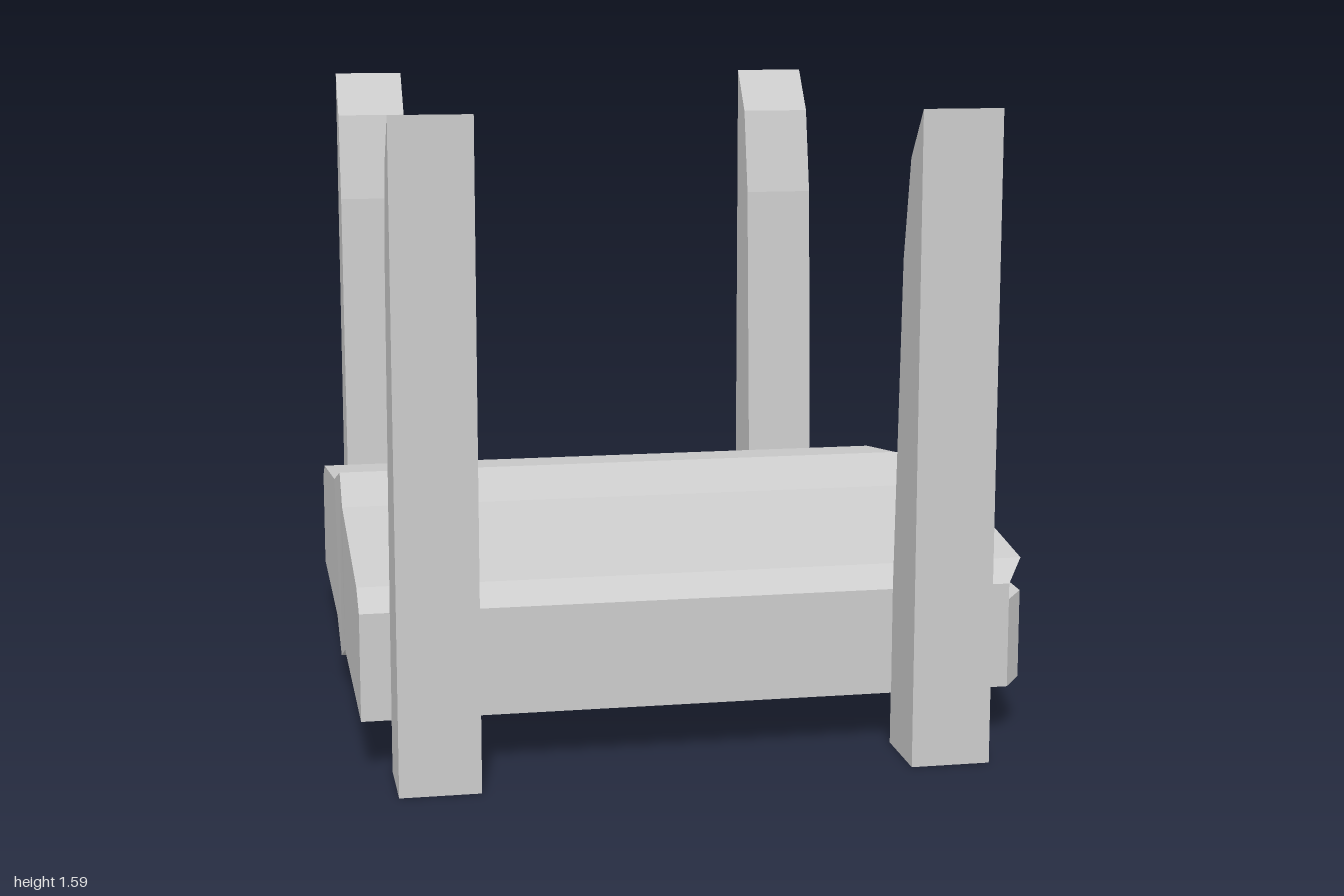
import * as THREE from 'three';

// Skin a list of matching cross-section rings, optionally capping both ends
function loft(rings, capped) {
  const n = rings[0].length;
  const index = [];
  for (let i = 0; i < rings.length - 1; i++) {
    for (let j = 0; j < n; j++) {
      const k = (j + 1) % n;
      const a = i * n + j, b = i * n + k, c = b + n, d = a + n;
      index.push(a, b, c, a, c, d);
    }
  }
  if (capped) {
    const last = (rings.length - 1) * n;
    for (let j = 1; j < n - 1; j++) {
      index.push(0, j + 1, j, last, last + j, last + j + 1);
    }
  }
  const indexed = new THREE.BufferGeometry();
  indexed.setAttribute('position', new THREE.Float32BufferAttribute(rings.flat(2), 3));
  indexed.setIndex(index);
  const geometry = indexed.toNonIndexed();
  geometry.computeVertexNormals();
  return geometry;
}

export function createModel() {
  const group = new THREE.Group();
  const material = new THREE.MeshStandardMaterial({
    color: 0xcccccc, flatShading: true, side: THREE.DoubleSide,
  });
  const add = (name, geometry) => {
    const mesh = new THREE.Mesh(geometry, material);
    mesh.name = name;
    group.add(mesh);
  };

  // Deck: ridged slab with a notch under the overhanging right-hand end
  // z, underside y, top y, wall x, top edge x, notch y, left edge x
  const ledgeY = 0.355, notchX = 0.745;
  const stations = [
    [-0.81, 0.13, 0.395, 0.745, 0.745, 0.395, -0.865],
    [-0.73, 0.13, 0.44, 0.8, 0.8, 0.356, -0.865],
    [-0.18, 0.13, 0.515, 0.8, 0.8, 0.41, -0.865],
    [0, 0.065, 0.57, 0.86, 0.82, 0.43, -0.86],
    [0.18, 0.13, 0.515, 0.81, 0.8, 0.41, -0.865],
    [0.73, 0.13, 0.44, 0.8, 0.8, 0.356, -0.865],
    [0.81, 0.13, 0.395, 0.745, 0.745, 0.395, -0.865],
  ];
  add('deck', loft(stations.map(([z, low, top, wallX, topX, notchY, leftX]) => [
    [-0.865, low, z],
    [wallX, low, z],
    [wallX, ledgeY, z],
    [notchX, ledgeY, z],
    [notchX, notchY, z],
    [topX, top, z],
    [leftX, top, z],
  ]), true));

  // Posts: hollow at the foot, inner face curving out to a sharp top edge
  const inner = [[0, 0.805], [0.395, 0.81], [1.22, 0.855], [1.465, 0.905], [1.585, 1]];
  for (const [side, x] of [['Right', -0.695], ['Left', 0.542]]) {
    for (const [end, s] of [['front', 1], ['back', -1]]) {
      const x0 = x - 0.097, x1 = x + 0.097;
      add(`${end}${side}Post`, loft(inner.map(([y, z]) => {
        const hi = s > 0 ? 1 : -z, lo = s > 0 ? z : -1;
        return [[x0, y, hi], [x1, y, hi], [x1, y, lo], [x0, y, lo]];
      }), false));
    }
  }
  return group;
}
